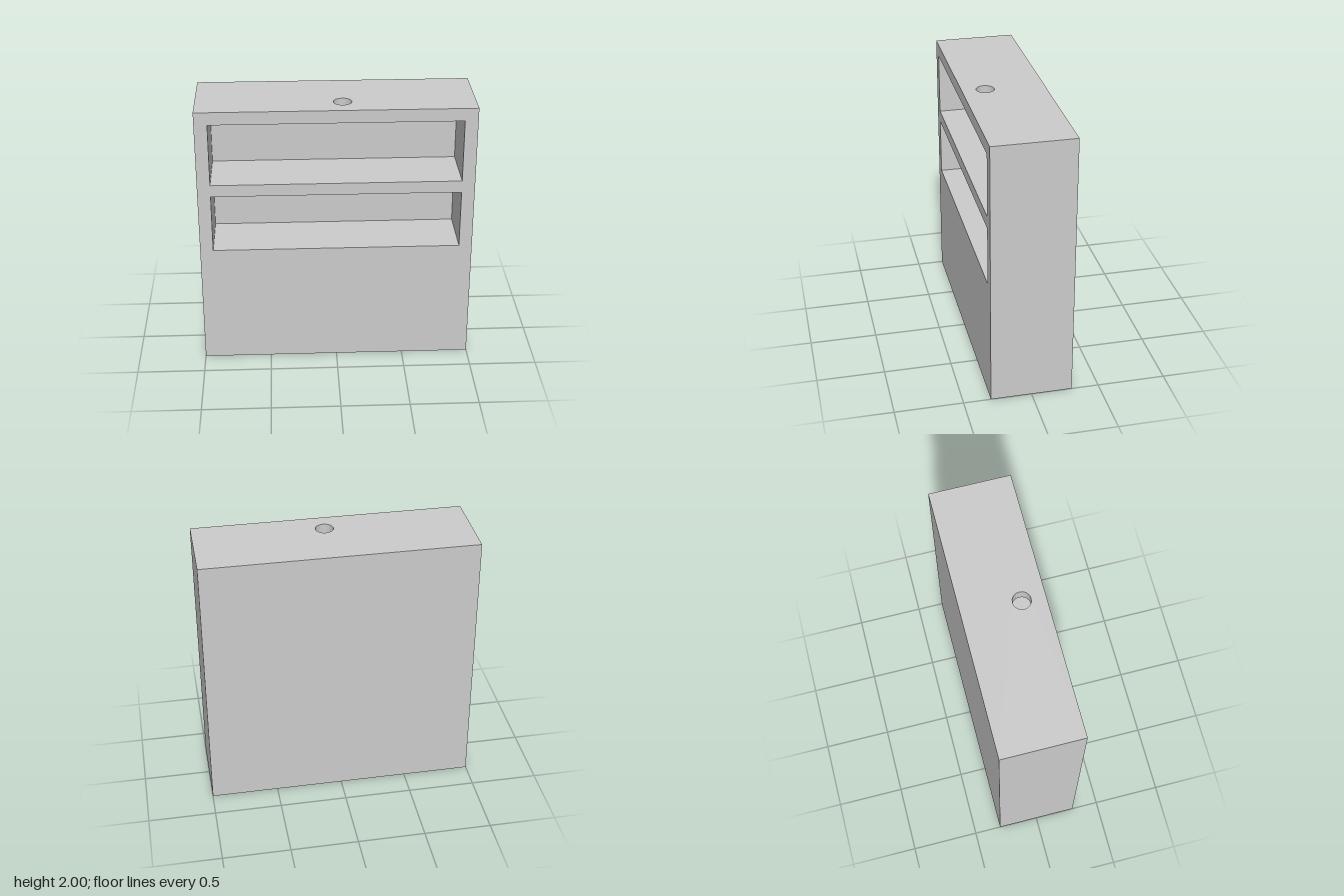
import * as THREE from 'three';

const W = 2, H = 2, D = 0.6;
const recessW = 1.81, recessBack = -0.13;
const recessD = D / 2 - recessBack, recessZ = (D / 2 + recessBack) / 2;
const recesses = [
  { name: 'upperRecess', y0: 1.44, y1: 1.905, bored: true },
  { name: 'lowerRecess', y0: 0.915, y1: 1.35, bored: false },
];
const bore = { x: 0.05, z: 0.13, r: 0.066, sides: 16 };

const rectPoints = (w, h, cx = 0, cy = 0) =>
  [[-1, -1], [1, -1], [1, 1], [-1, 1]].map(([x, y]) => new THREE.Vector2(cx + x * w / 2, cy + y * h / 2));

const circlePoints = (cx, cy) => Array.from({ length: bore.sides }, (_, i) => {
  const a = (i / bore.sides) * Math.PI * 2;
  return new THREE.Vector2(cx + bore.r * Math.cos(a), cy + bore.r * Math.sin(a));
});

export function createModel() {
  const group = new THREE.Group();
  const material = new THREE.MeshStandardMaterial({ color: 0xcccccc });

  // Flat wall facing +z before it is turned, with optional cut-outs
  function wall(parent, name, w, h, pos, rx = 0, ry = 0, holes = []) {
    const shape = new THREE.Shape(rectPoints(w, h));
    holes.forEach((pts) => shape.holes.push(new THREE.Path(pts)));
    const mesh = new THREE.Mesh(new THREE.ShapeGeometry(shape), material);
    mesh.name = name;
    mesh.position.set(...pos);
    mesh.rotation.set(rx, ry, 0);
    parent.add(mesh);
  }
  const Q = Math.PI / 2;

  // Outer case
  const body = new THREE.Group();
  body.name = 'case';
  group.add(body);
  const openings = recesses.map(({ y0, y1 }) => rectPoints(recessW, y1 - y0, 0, (y0 + y1) / 2 - H / 2));
  wall(body, 'frontPanel', W, H, [0, H / 2, D / 2], 0, 0, openings);
  wall(body, 'backPanel', W, H, [0, H / 2, -D / 2], 0, Math.PI);
  wall(body, 'leftSide', D, H, [W / 2, H / 2, 0], 0, Q);
  wall(body, 'rightSide', D, H, [-W / 2, H / 2, 0], 0, -Q);
  wall(body, 'topPanel', W, D, [0, H, 0], -Q, 0, [circlePoints(bore.x, -bore.z)]);
  wall(body, 'bottomPanel', W, D, [0, 0, 0], Q);

  // Inside walls of the two shelf recesses
  for (const { name, y0, y1, bored } of recesses) {
    const recess = new THREE.Group();
    recess.name = name;
    group.add(recess);
    const h = y1 - y0, cy = (y0 + y1) / 2;
    wall(recess, 'recessBack', recessW, h, [0, cy, recessBack]);
    wall(recess, 'recessFloor', recessW, recessD, [0, y0, recessZ], -Q);
    wall(recess, 'recessCeiling', recessW, recessD, [0, y1, recessZ], Q, 0,
      bored ? [circlePoints(bore.x, bore.z - recessZ)] : []);
    wall(recess, 'recessLeftWall', recessD, h, [recessW / 2, cy, recessZ], 0, -Q);
    wall(recess, 'recessRightWall', recessD, h, [-recessW / 2, cy, recessZ], 0, Q);
  }

  // Round hole through the top board, its wall facing inward
  const depth = H - recesses[0].y1;
  const tube = new THREE.CylinderGeometry(bore.r, bore.r, depth, bore.sides, 1, true)
    .scale(-1, 1, 1).toNonIndexed();
  tube.computeVertexNormals();
  const hole = new THREE.Mesh(tube, material);
  hole.name = 'topHole';
  hole.position.set(bore.x, H - depth / 2, bore.z);
  group.add(hole);

  return group;
}
